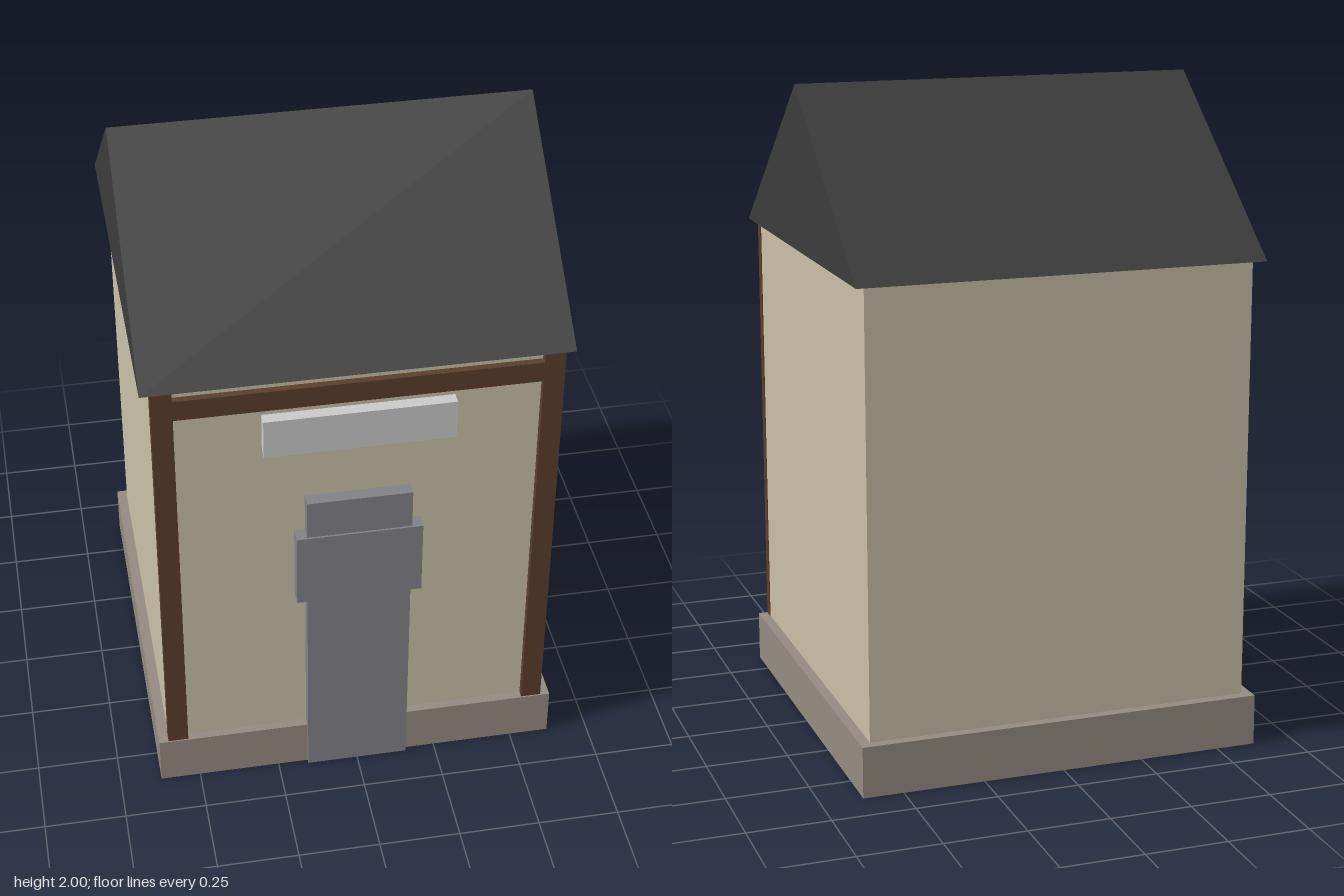
import * as THREE from 'three';

const mat = (name, color) => {
  const m = new THREE.MeshStandardMaterial({ color });
  m.name = name;
  return m;
};

export function createModel() {
  const house = new THREE.Group();
  house.name = 'house';

  const plaster = mat('plaster', 0xc8bfa6);
  const stone = mat('stone', 0x938b80);
  const slate = mat('slate', 0x3c3c3c);
  const timber = mat('timber', 0x5a3e2b);
  const steel = mat('greyDoor', 0x808188);
  const pale = mat('paleSign', 0xc8c8c8);

  // Box given by its lower and upper corners
  const box = (name, material, [x0, y0, z0], [x1, y1, z1]) => {
    const mesh = new THREE.Mesh(new THREE.BoxGeometry(x1 - x0, y1 - y0, z1 - z0), material);
    mesh.name = name;
    mesh.position.set((x0 + x1) / 2, (y0 + y1) / 2, (z0 + z1) / 2);
    house.add(mesh);
  };

  // Plinth and walls
  box('plinth', stone, [-0.623, 0, -0.633], [0.623, 0.157, 0.613]);
  box('walls', plaster, [-0.592, 0.1, -0.602], [0.592, 1.505, 0.587]);

  // Timber frame on the front
  for (const side of [-1, 1]) {
    const a = side * 0.532, b = side * 0.594;
    box(side > 0 ? 'leftPost' : 'rightPost', timber,
      [Math.min(a, b), 0.15, 0.575], [Math.max(a, b), 1.505, 0.609]);
  }
  box('frontBeam', timber, [-0.532, 1.406, 0.575], [0.532, 1.472, 0.608]);

  // Sign board and door with its wider middle panel
  box('signBoard', pale, [-0.28, 1.252, 0.58], [0.28, 1.378, 0.624]);
  box('door', steel, [-0.157, 0, 0.58], [0.157, 1.065, 0.627]);
  box('doorPanel', steel, [-0.189, 0.692, 0.58], [0.189, 0.938, 0.633]);

  // Gable roof: triangle in z-y, extruded along x
  const gable = new THREE.Shape([
    new THREE.Vector2(-0.633, 1.503),
    new THREE.Vector2(0.613, 1.503),
    new THREE.Vector2(-0.01, 2),
  ]);
  const roofGeometry = new THREE.ExtrudeGeometry(gable, { depth: 1.246, bevelEnabled: false });
  roofGeometry.translate(0, 0, -0.623).rotateY(-Math.PI / 2);
  const roof = new THREE.Mesh(roofGeometry, slate);
  roof.name = 'roof';
  house.add(roof);

  return house;
}
